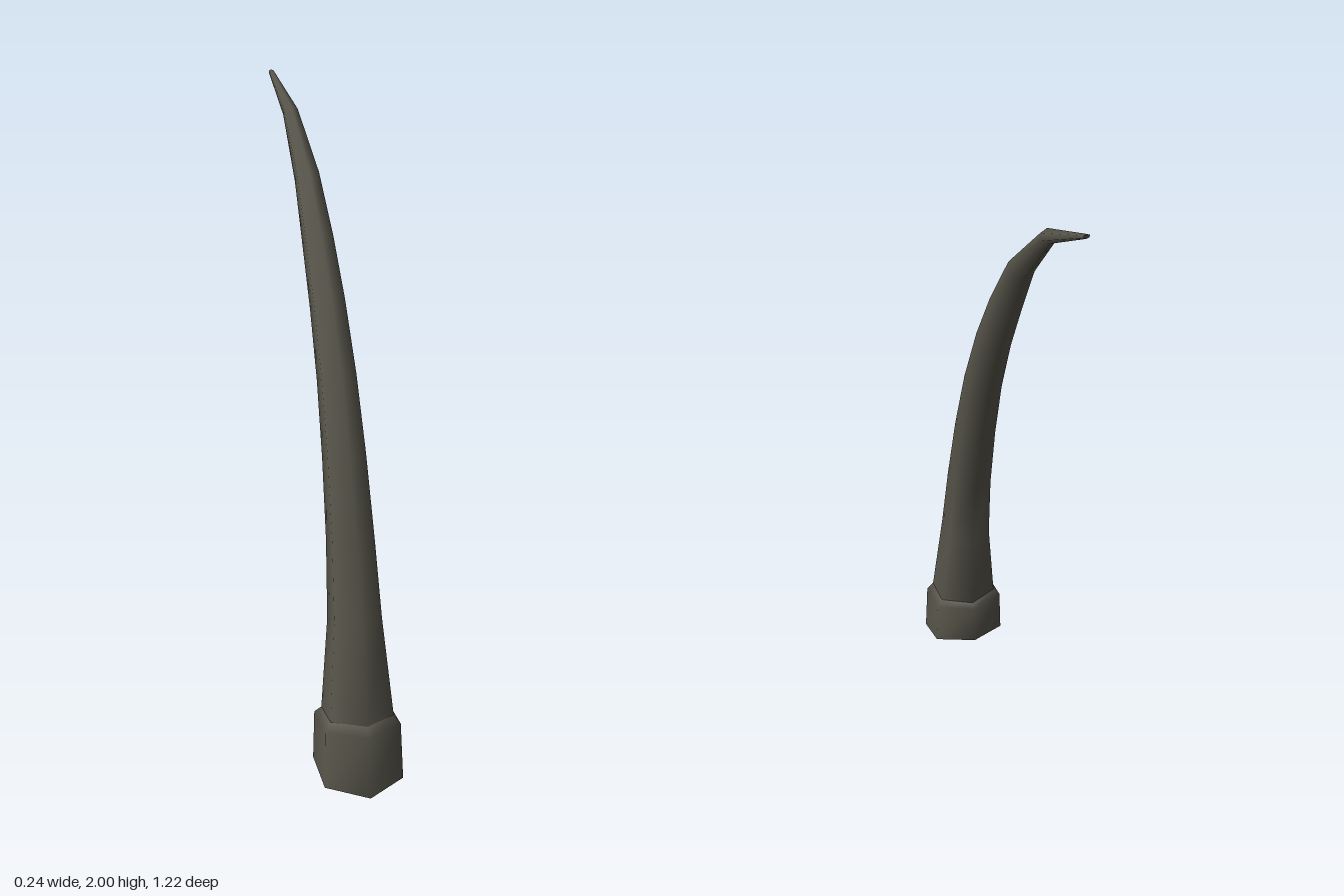
import * as THREE from 'three';

// Each ring: [front z, front y, back z, back y, half width]
const base = [
  [0.61, 0.0, 0.335, 0.06, 0.12],
  [0.59, 0.18, 0.335, 0.195, 0.115],
  [0.57, 0.21, 0.355, 0.21, 0.096],
];
const shaft = [
  base[2],
  [0.505, 0.51, 0.345, 0.47, 0.072],
  [0.445, 0.735, 0.305, 0.7, 0.064],
  [0.365, 0.975, 0.24, 0.93, 0.058],
  [0.27, 1.195, 0.165, 1.14, 0.053],
  [0.155, 1.4, 0.07, 1.33, 0.048],
  [0.035, 1.57, -0.035, 1.5, 0.043],
  [-0.11, 1.74, -0.155, 1.68, 0.035],
  [-0.33, 1.905, -0.355, 1.87, 0.022],
  [-0.607, 2.0, -0.602, 1.985, 0.008],
];

// Six corners of a tilted hexagon, a corner at front and back
function hexagon([fz, fy, bz, by, w]) {
  const sides = [[0, 0], [1, 0.25], [1, 0.75], [0, 1], [-1, 0.75], [-1, 0.25]];
  return sides.map(([s, t]) => [s * w, fy + (by - fy) * t, fz + (bz - fz) * t]);
}

function geometry(points, index) {
  const g = new THREE.BufferGeometry();
  g.setAttribute('position', new THREE.Float32BufferAttribute(points.flat(), 3));
  g.setIndex(index);
  g.computeVertexNormals();
  return g;
}

// Smooth skin through a list of rings
function loft(rings) {
  const index = [];
  for (let i = 0; i < rings.length - 1; i++) {
    for (let j = 0; j < 6; j++) {
      const a = i * 6 + j, b = i * 6 + (j + 1) % 6;
      index.push(a, b, b + 6, a, b + 6, a + 6);
    }
  }
  return geometry(rings.flatMap(hexagon), index);
}

// Flat end face
function cap(ring, up) {
  const index = [];
  for (let j = 1; j < 5; j++) index.push(0, up ? j : j + 1, up ? j + 1 : j);
  return geometry(hexagon(ring), index);
}

export function createModel() {
  const group = new THREE.Group();
  group.name = 'horn';
  const material = new THREE.MeshStandardMaterial({ color: 0x57554a });
  material.name = 'dark horn';
  const add = (name, geo) => {
    const mesh = new THREE.Mesh(geo, material);
    mesh.name = name;
    group.add(mesh);
  };
  add('collar', loft(base));
  add('curvedShaft', loft(shaft));
  add('baseCap', cap(base[0], false));
  add('tipCap', cap(shaft[shaft.length - 1], true));
  return group;
}
